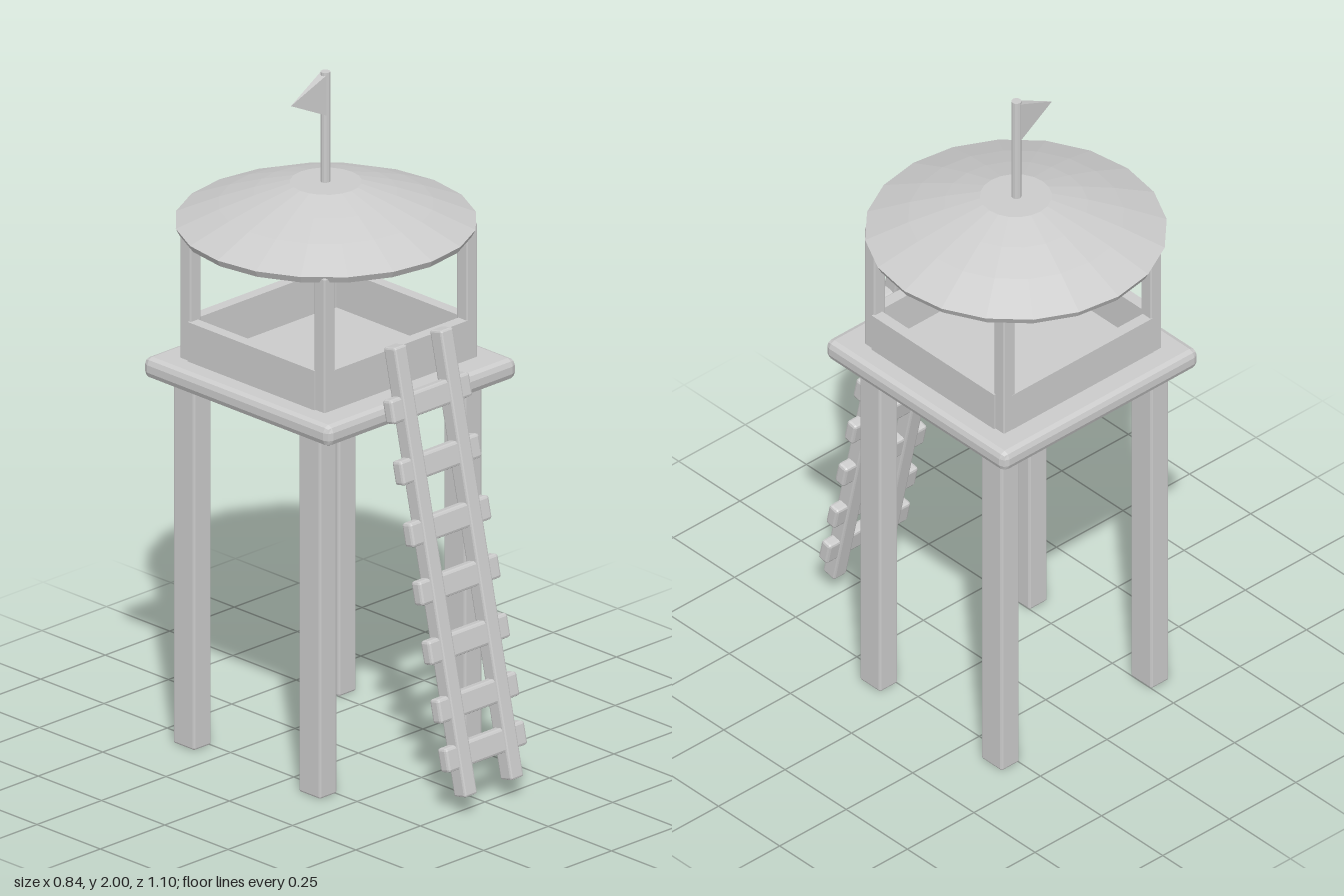
import * as THREE from 'three';
import { RoundedBoxGeometry } from 'three/addons/geometries/RoundedBoxGeometry.js';

const material = new THREE.MeshStandardMaterial({ color: 0xcccccc, flatShading: true });

function add(parent, name, geometry, x = 0, y = 0, z = 0) {
  const mesh = new THREE.Mesh(geometry, material);
  mesh.name = name;
  mesh.position.set(x, y, z);
  parent.add(mesh);
  return mesh;
}

// Box with a small chamfer on every edge
const bevelBox = (w, h, d, bevel = 0.006) => new RoundedBoxGeometry(w, h, d, 1, bevel);

function createLadder() {
  const ladder = new THREE.Group();
  ladder.name = 'ladder';
  const length = 1.293;
  for (const x of [-0.099, 0.08]) add(ladder, 'ladderRail', bevelBox(0.048, length, 0.047), x, length / 2, 0);

  // Rungs pass through the rails and stick out on both sides
  for (const height of [0.116, 0.257, 0.425, 0.596, 0.764, 0.942, 1.118]) {
    add(ladder, 'ladderRung', bevelBox(0.307, 0.07, 0.036, 0.008), -0.01, height, 0);
  }
  ladder.position.set(0, 0.056, 0.526);
  ladder.rotation.x = -Math.atan2(0.28, 1.262);
  return ladder;
}

export function createModel() {
  const tower = new THREE.Group();
  tower.name = 'watchtower';

  // Platform
  add(tower, 'platform', bevelBox(0.735, 0.062, 0.735, 0.02), 0, 1.119, -0.112);

  // Legs below and roof posts above the platform
  for (const side of [-1, 1]) {
    for (const z of [0.127, -0.37]) add(tower, 'leg', bevelBox(0.067, 1.1, 0.084), side * 0.281, 0.55, z);
    for (const z of [0.148, -0.381]) add(tower, 'roofPost', bevelBox(0.041, 0.41, 0.042, 0.004), side * 0.276, 1.345, z);
  }

  // Low walls between the posts
  for (const side of [-1, 1]) {
    add(tower, 'sideWall', new THREE.BoxGeometry(0.034, 0.12, 0.5), side * 0.285, 1.208, -0.117);
    add(tower, 'endWall', new THREE.BoxGeometry(0.53, 0.12, 0.034), 0, 1.208, -0.117 + side * 0.269);
  }

  // Shallow domed roof with a flat crown
  const roofProfile = [
    [0, 1.535], [0.41, 1.535], [0.42, 1.555], [0.3, 1.606], [0.2, 1.642], [0.1, 1.672], [0, 1.672],
  ].map(([r, y]) => new THREE.Vector2(r, y));
  const roof = new THREE.LatheGeometry(roofProfile, 20);
  add(tower, 'roof', roof, 0, 0, -0.128);

  // Flagpole and wedge-shaped pennant
  add(tower, 'flagpole', new THREE.CylinderGeometry(0.014, 0.014, 0.34, 12), 0, 1.83, -0.13);
  const pennant = new THREE.ConeGeometry(Math.SQRT1_2, 1, 4)
    .rotateY(Math.PI / 4)
    .scale(0.125, 0.13, 0.028)
    .rotateZ(Math.PI / 2);
  add(tower, 'pennant', pennant, -0.067, 1.933, -0.132);

  tower.add(createLadder());
  return tower;
}
